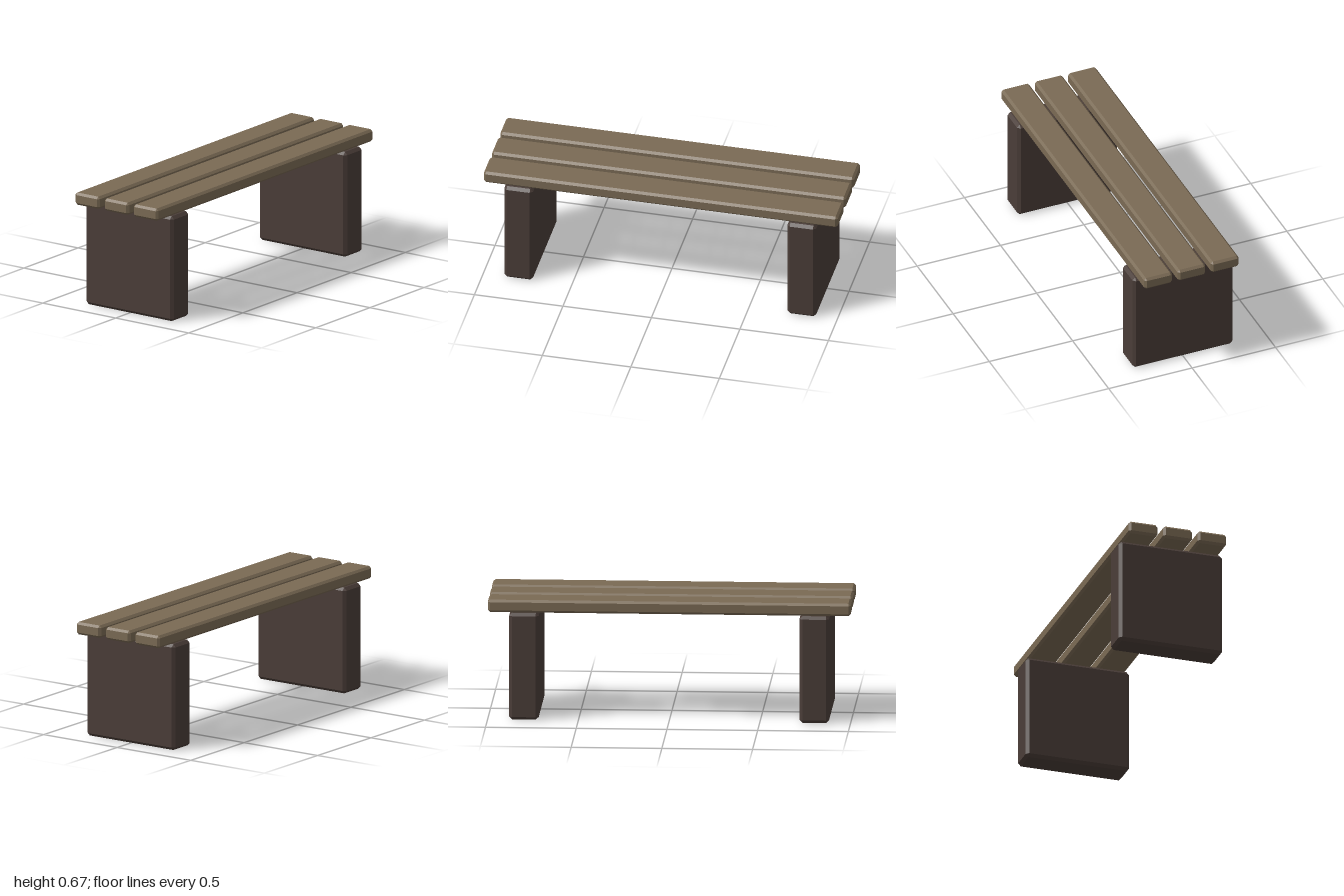
import * as THREE from 'three';
import { ConvexGeometry } from 'three/addons/geometries/ConvexGeometry.js';

// Box with a flat bevel of width c along every edge
function bevelledBox(w, h, d, c) {
  const points = [];
  for (const sx of [-1, 1]) for (const sy of [-1, 1]) for (const sz of [-1, 1]) {
    const x = w / 2, y = h / 2, z = d / 2;
    points.push(
      new THREE.Vector3(sx * x, sy * (y - c), sz * (z - c)),
      new THREE.Vector3(sx * (x - c), sy * y, sz * (z - c)),
      new THREE.Vector3(sx * (x - c), sy * (y - c), sz * z)
    );
  }
  return new ConvexGeometry(points);
}

export function createModel() {
  const bench = new THREE.Group();
  bench.name = 'bench';

  const seatWood = new THREE.MeshStandardMaterial({ color: 0x7a6a54 });
  seatWood.name = 'seatWood';
  const legWood = new THREE.MeshStandardMaterial({ color: 0x4a3d38 });
  legWood.name = 'legWood';

  const add = (name, geometry, material, x, y, z) => {
    const mesh = new THREE.Mesh(geometry, material);
    mesh.name = name;
    mesh.position.set(x, y, z);
    bench.add(mesh);
  };

  // Three seat planks side by side
  const plank = bevelledBox(2, 0.07, 0.167, 0.0125);
  [['backPlank', -0.2], ['middlePlank', 0], ['frontPlank', 0.2]].forEach(([name, z]) =>
    add(name, plank, seatWood, 0, 0.635, z));

  // Two slab legs
  const leg = bevelledBox(0.163, 0.6, 0.6, 0.0163);
  add('leftLeg', leg, legWood, 0.8, 0.3, 0);
  add('rightLeg', leg, legWood, -0.8, 0.3, 0);

  return bench;
}
